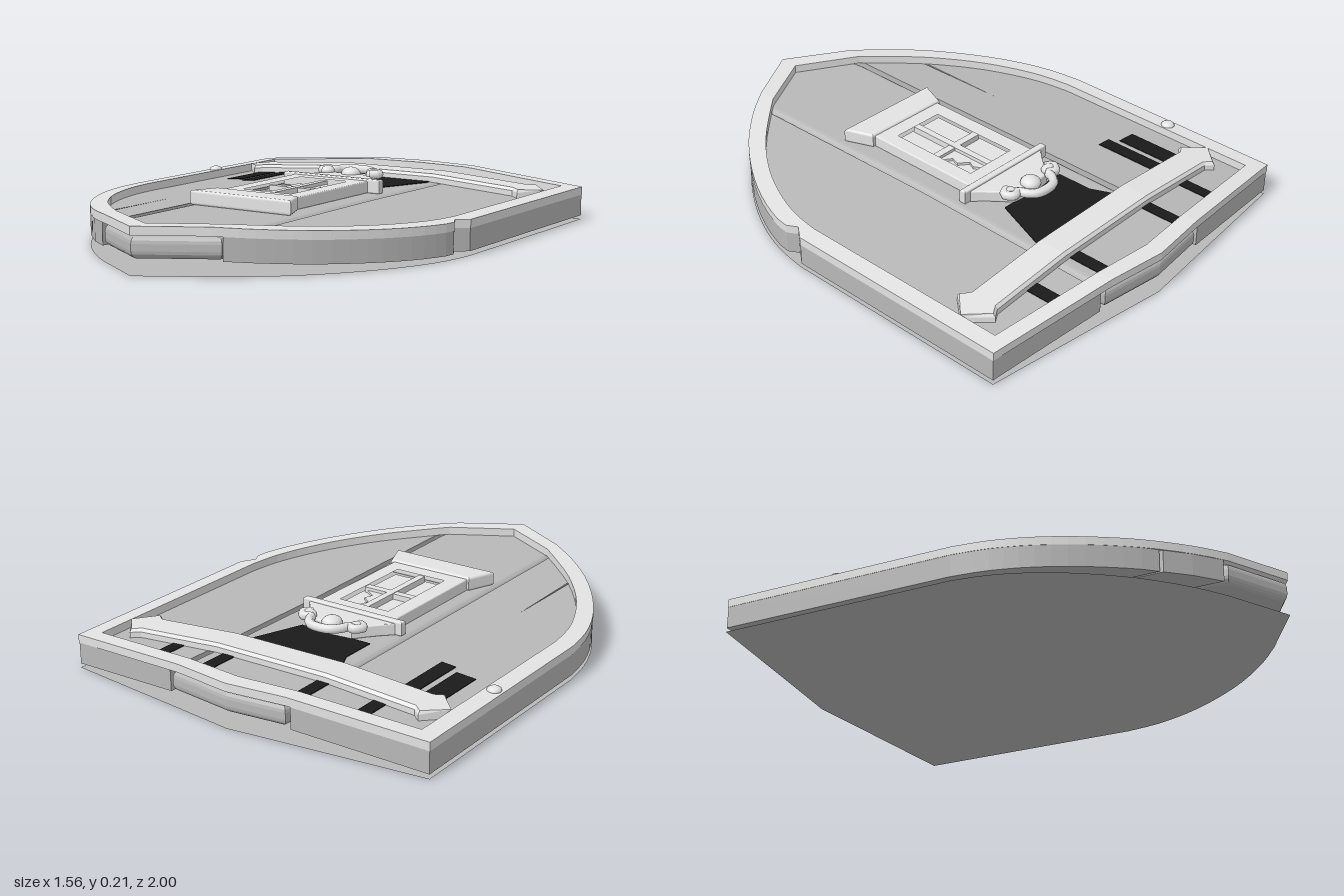
import * as THREE from 'three';

const mat = (name, color) => {
  const m = new THREE.MeshStandardMaterial({ color });
  m.name = name;
  return m;
};

export function createModel() {
  const group = new THREE.Group();
  const light = mat('light trim', 0xe3e3e3);
  const grey = mat('plank grey', 0xb8b8b8);
  grey.side = THREE.DoubleSide;
  const black = mat('black paint', 0x1a1a1a);

  const BASE = 0.055, TOP = 0.14;
  const v = ([x, z]) => new THREE.Vector2(x, -z);
  const shapeOf = (pts, holes = []) => {
    const s = new THREE.Shape(pts.map(v));
    holes.forEach(h => s.holes.push(new THREE.Path(h.map(v))));
    return s;
  };
  const add = (name, geo, material, x = 0, y = 0, z = 0) => {
    const m = new THREE.Mesh(geo, material);
    m.name = name;
    m.position.set(x, y, z);
    group.add(m);
  };
  // the side wings slope down away from the flat middle
  const drop = x => -0.072 * Math.max(0, Math.abs(x) - 0.24);
  // plan outline (x, z) extruded upward from y0 to y1, then bent
  const slab = (name, pts, y0, y1, material, { holes = [], bevel = 0, bend = true } = {}) => {
    const g = new THREE.ExtrudeGeometry(shapeOf(pts, holes), {
      depth: y1 - y0 - 2 * bevel, bevelEnabled: bevel > 0, bevelSize: bevel,
      bevelOffset: -bevel, bevelThickness: bevel, bevelSegments: 4,
    });
    g.rotateX(-Math.PI / 2);
    g.translate(0, y0 + bevel, 0);
    if (bend) {
      const p = g.attributes.position;
      for (let i = 0; i < p.count; i++) p.setY(i, p.getY(i) + drop(p.getX(i)));
      g.computeVertexNormals();
    }
    add(name, g, material);
  };
  const rect = (x0, x1, z0, z1) => [[x0, z0], [x1, z0], [x1, z1], [x0, z1]];
  const mirror = pts => pts.map(([x, z]) => [-x, z]);
  const full = half => [...half, ...mirror(half).reverse().filter(([x]) => Math.abs(x) > 0.001)];
  const curve = pts => new THREE.SplineCurve(pts.map(p => new THREE.Vector2(...p)))
    .getPoints((pts.length - 1) * 3).map(p => [p.x, p.y]);

  // shield outline, right half from top point to bottom point
  const outer = [[0, -1], [0.24, -0.972], [0.778, -0.912], ...curve([[0.778, 0.03], [0.757, 0.17], [0.705, 0.32],
    [0.62, 0.475], [0.5, 0.635], [0.36, 0.77], [0.24, 0.858]]), [0, 1]];
  const inner = [[0, -0.93], [0.24, -0.909], [0.71, -0.857], ...curve([[0.71, 0.03], [0.69, 0.16], [0.64, 0.3],
    [0.565, 0.44], [0.45, 0.59], [0.32, 0.715], [0.24, 0.785]]), [0, 0.92]];
  const nicked = [...outer.filter(p => p[1] < 0.035), [0.74, 0.08], [0.762, 0.122], ...outer.filter(p => p[1] > 0.13)];

  // rim in four pieces that meet at the bends
  const band = (a, b) => [...a, ...b.slice().reverse()];
  const middleBand = (a, b) => {
    const across = pts => [[-pts[0][0], pts[0][1]], pts[1], pts[0]];
    return band(across(a), across(b));
  };
  slab('rimRight', band(nicked.slice(1, -1), inner.slice(1, -1)), TOP, 0.172, light);
  slab('rimLeft', mirror(band(outer.slice(1, -1), inner.slice(1, -1))), TOP, 0.172, light);
  slab('rimTop', middleBand([outer[1], outer[0]], [inner[1], inner[0]]), TOP, 0.172, light);
  slab('rimTip', middleBand(outer.slice(-2), inner.slice(-2)), TOP, 0.172, light);

  // thin flat backing sheet
  const back = new THREE.ShapeGeometry(shapeOf(full(outer)));
  back.rotateX(-Math.PI / 2);
  add('backing', back, grey);

  // three planks, the left one split by a long crack
  const inset = pts => pts.map(([x, z]) => [x * 0.998, z * 0.998]);
  slab('rightPlank', [[0.272, -0.1], [0.284, -0.96], ...inset(nicked.slice(2, -2)), [0.287, 0.822]], BASE, TOP, grey);
  const leftSide = inset(mirror(outer.slice(2).filter(p => p[0] > 0.46)));
  slab('leftPlank', [[-0.255, -0.967], ...leftSide, [-0.451, 0.68], [-0.447, 0.2], [-0.441, 0.69],
    [-0.36, 0.768], [-0.255, 0.846]], BASE, TOP, grey);
  slab('middlePlank', [[-0.236, -0.97], [0, -0.997], [0.268, -0.966], [0.274, -0.87], [0.262, -0.1], [0.277, 0.76],
    [0.268, 0.838], [0, 0.995], [-0.236, 0.856], [-0.245, 0.76], [-0.245, -0.87]],
  BASE, TOP, grey, { bevel: 0.03, bend: false });

  // painted black marks
  [[-0.49, -0.44, -0.88, -0.74], [-0.255, -0.205, -0.905, -0.74], [0.16, 0.212, -0.91, -0.74],
    [0.392, 0.445, -0.885, -0.74], [-0.62, -0.54, -0.64, -0.38], [-0.515, -0.455, -0.64, -0.345],
  ].forEach(r => slab('blackMark', rect(...r), TOP, TOP + 0.003, black));
  slab('blackPatch', [[-0.22, -0.64], [0.225, -0.64], [0.225, -0.61], [0.14, -0.385], [-0.17, -0.385], [-0.17, -0.53]],
    TOP, TOP + 0.003, black);

  // crossbar with arrow-shaped ends: sections of x, back z, front z
  const sections = [[-0.71, -0.68, -0.68], [-0.635, -0.767, -0.597], [-0.605, -0.743, -0.617], [-0.24, -0.751, -0.624],
    [0.24, -0.76, -0.633], [0.6, -0.768, -0.641], [0.635, -0.79, -0.613], [0.71, -0.7, -0.7]].map(([x, z0, z1]) => {
    const b = z1 > z0 ? 0.01 : 0, y = drop(x);
    return [[z1, TOP], [z1, 0.162], [z1 - b, 0.174], [z0 + b, 0.174], [z0, 0.162], [z0, TOP]]
      .map(([z, h]) => [x, h + y, z]);
  });
  const bar = [];
  for (let i = 0; i < sections.length - 1; i++) {
    const a = sections[i], b = sections[i + 1];
    for (let j = 0; j < 6; j++) {
      const n = (j + 1) % 6;
      bar.push(...a[j], ...b[j], ...b[n], ...a[j], ...b[n], ...a[n]);
    }
  }
  const barGeo = new THREE.BufferGeometry();
  barGeo.setAttribute('position', new THREE.Float32BufferAttribute(bar, 3));
  barGeo.computeVertexNormals();
  add('crossbar', barGeo, light);

  // window frame, glass and crossing bars
  slab('windowFrame', rect(-0.176, 0.172, -0.25, 0.27), TOP, 0.188, light,
    { holes: [rect(-0.115, 0.115, -0.19, 0.205)], bevel: 0.005 });
  slab('windowGlass', rect(-0.13, 0.13, -0.2, 0.215), TOP, 0.158, light);
  slab('windowBar', rect(-0.014, 0.014, -0.195, 0.21), 0.15, 0.182, light);
  slab('windowBar', rect(-0.12, 0.12, -0.012, 0.018), 0.15, 0.18, light);

  // broken pane: a raised plate with a jagged edge
  slab('brokenPane', [[0.014, -0.19], [0.022, -0.185], [0.048, -0.14], [0.034, -0.11], [0.072, -0.08], [0.06, -0.045],
    [0.108, -0.012], [0.014, -0.012]], 0.158, 0.168, light);

  // sill, lintel and curved pediment
  slab('windowSill', [[-0.185, 0.262], [0.185, 0.262], [0.23, 0.375], [-0.23, 0.375]], TOP, 0.196, light,
    { bevel: 0.01 });
  slab('lintel', rect(-0.226, 0.226, -0.266, -0.238), TOP, 0.195, light, { bevel: 0.006 });
  slab('pediment', full([[0, -0.4], [0.09, -0.39], [0.125, -0.345], [0.16, -0.305], [0.205, -0.258]]),
    TOP, 0.186, light, { bevel: 0.006 });

  // scroll ornament with a ball in the middle
  const arc = [[-0.105, -0.36], [-0.135, -0.378], [-0.115, -0.408], [-0.085, -0.4], [-0.075, -0.425], [-0.045, -0.458],
    [0, -0.467]];
  const path = new THREE.CatmullRomCurve3(full(arc).map(([x, z]) => new THREE.Vector3(x, 0.194, z)));
  add('scroll', new THREE.TubeGeometry(path, 48, 0.018, 8), light);
  const dome = (name, r, flat, x, y, z) => {
    const g = new THREE.SphereGeometry(r, 14, 10);
    g.scale(1, flat, 1);
    add(name, g, light, x, y, z);
  };
  for (const s of [-1, 1]) dome('scrollEnd', 0.03, 0.7, s * 0.108, 0.191, -0.383);
  dome('ornamentBall', 0.04, 0.7, 0, 0.186, -0.387);

  // rivet on the rim
  dome('rivet', 0.027, 0.6, -0.743, 0.172 + drop(0.743), -0.46);

  return group;
}
